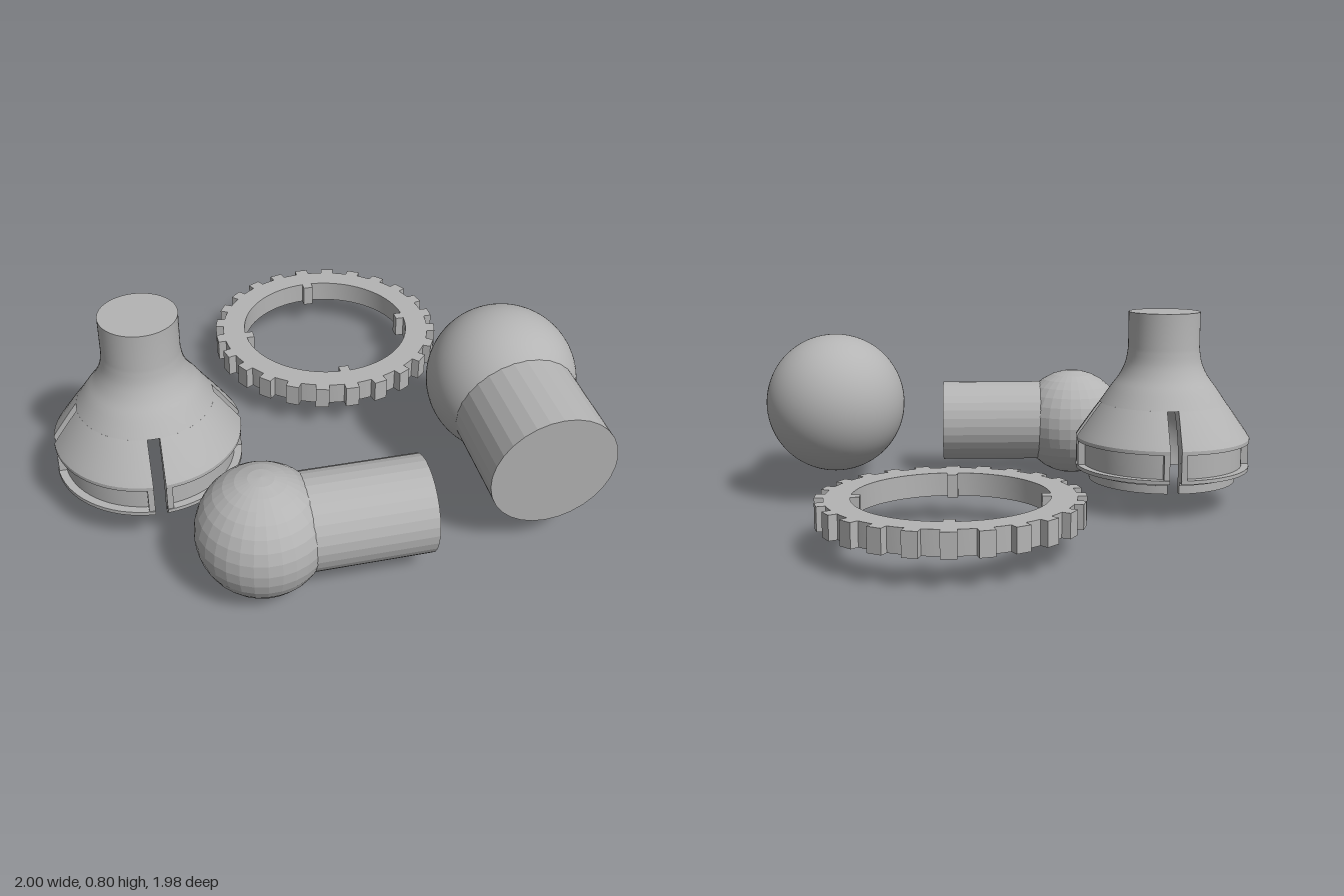
import * as THREE from 'three';
import { toCreasedNormals } from 'three/addons/utils/BufferGeometryUtils.js';

const V = (x, y) => new THREE.Vector2(x, y);

export function createModel() {
  const grey = new THREE.MeshStandardMaterial({ color: 0xb4b4b4 });
  const greyThin = grey;
  greyThin.side = THREE.DoubleSide;
  const model = new THREE.Group();
  const add = (parent, name, geometry) => {
    const mesh = new THREE.Mesh(geometry, grey);
    mesh.name = name;
    parent.add(mesh);
    return mesh;
  };
  const group = (name, x, y, z) => {
    const g = new THREE.Group();
    g.name = name;
    g.position.set(x, y, z);
    model.add(g);
    return g;
  };
  const faceted = (geometry) => {
    const g = geometry.toNonIndexed();
    g.computeVertexNormals();
    return g;
  };

  // Notched locking ring: outline of evenly spaced straight-sided teeth
  const toothed = (count, rBase, rTooth, half, arcSteps) => {
    const pts = [];
    const step = (Math.PI * 2) / count;
    const polar = (r, a) => pts.push(V(r * Math.cos(a), r * Math.sin(a)));
    for (let i = 0; i < count; i++) {
      const a = i * step;
      const aBase = Math.asin(half / rBase), aTip = Math.asin(half / rTooth);
      polar(rBase, a - aBase);
      polar(rTooth, a - aTip);
      polar(rTooth, a + aTip);
      for (let k = 0; k < arcSteps; k++) {
        polar(rBase, a + aBase + ((step - 2 * aBase) * k) / arcSteps);
      }
    }
    return pts;
  };
  const ring = group('lockingRing', 0.215, 0.118, -0.512);
  const ringShape = new THREE.Shape(toothed(24, 0.452, 0.485, 0.028, 3));
  ringShape.holes.push(new THREE.Path(toothed(4, 0.358, 0.325, 0.021, 16)));
  const ringGeo = new THREE.ExtrudeGeometry(ringShape, { depth: 0.09, bevelEnabled: false });
  ringGeo.rotateX(-Math.PI / 2);
  add(ring, 'toothedRing', toCreasedNormals(ringGeo, 0.3));

  // Small ball joint with its shaft lying along x
  const small = group('smallBallJoint', -0.322, 0.247, 0.75);
  add(small, 'smallBall', faceted(new THREE.SphereGeometry(0.238, 30, 16)));
  const smallShaft = new THREE.CylinderGeometry(0.179, 0.179, 0.49, 30);
  smallShaft.rotateZ(-Math.PI / 2);
  add(small, 'smallShaft', faceted(smallShaft)).position.set(0.347, 0.005, 0);

  // Large ball joint with its shaft tipped slightly down toward the front
  const large = group('largeBallJoint', 0.711, 0.413, 0.302);
  add(large, 'largeBall', new THREE.SphereGeometry(0.287, 72, 48));
  const largeShaft = new THREE.CylinderGeometry(0.24, 0.24, 0.5, 30);
  largeShaft.rotateX(Math.PI / 2);
  largeShaft.translate(0, 0, 0.271);
  const shaft = add(large, 'largeShaft', faceted(largeShaft));
  shaft.position.set(0.004, -0.018, 0);
  shaft.rotation.set(0.056, 0.014, 0);

  // Socket: solid neck above four slotted fingers around a round cavity
  const socket = group('socket', -0.645, 0, 0.15);
  const slotTop = 0.435, slotHalf = 0.0225, cavityR = 0.27, cavityY = 0.2;
  const cavity = (y) => V(Math.sqrt(Math.max(0, cavityR ** 2 - (y - cavityY) ** 2)), y);

  const flare = new THREE.SplineCurve([
    V(0.257, slotTop), V(0.215, 0.497), V(0.18, 0.545), V(0.155, 0.6), V(0.145, 0.66),
  ]).getPoints(14);
  const neckProfile = [
    V(0, 0.47), cavity(0.465), cavity(0.455), cavity(slotTop),
    ...flare, V(0.145, 0.805), V(0, 0.805),
  ];
  add(socket, 'neck', toCreasedNormals(new THREE.LatheGeometry(neckProfile, 60), 0.6));

  // Closed finger profile, outside going up and cavity coming down
  const finger = [
    V(0.3, 0.115), V(0.3, 0.148), V(0.308, 0.15), V(0.308, 0.165), V(0.355, 0.165),
    V(0.355, 0.18), V(0.325, 0.18), V(0.325, 0.28), V(0.355, 0.28), V(0.355, 0.295),
    V(0.34, 0.318), V(0.312, 0.358), V(0.285, 0.397), V(0.257, slotTop),
  ];
  for (let i = 0; i <= 14; i++) finger.push(cavity(slotTop + ((0.115 - slotTop) * i) / 14));
  finger.push(finger[0].clone());

  // Quarter turn, narrowed at both ends so the slots keep parallel walls
  const sector = new THREE.LatheGeometry(finger, 16, 0, Math.PI / 2);
  const pos = sector.attributes.position;
  for (let i = 0; i < pos.count; i++) {
    const r = Math.hypot(pos.getX(i), pos.getZ(i));
    const off = Math.asin(slotHalf / r);
    const t = Math.atan2(pos.getX(i), pos.getZ(i)) / (Math.PI / 2);
    const a = off + t * (Math.PI / 2 - 2 * off);
    pos.setXYZ(i, r * Math.sin(a), pos.getY(i), r * Math.cos(a));
  }
  const sectorGeo = toCreasedNormals(sector, 0.45);

  // Slot walls and the posts that close off the groove beside each slot
  const wallShape = new THREE.Shape(
    finger.slice(0, -1).map((p) => V(Math.sqrt(p.x ** 2 - slotHalf ** 2), p.y)));
  const wallA = new THREE.ShapeGeometry(wallShape);
  wallA.rotateY(-Math.PI / 2);
  wallA.translate(slotHalf, 0, 0);
  const wallB = new THREE.ShapeGeometry(wallShape);
  wallB.translate(0, 0, slotHalf);
  const post = new THREE.BoxGeometry(0.0225, 0.12, 0.04);

  for (let i = 0; i < 4; i++) {
    const quarter = new THREE.Group();
    quarter.name = 'finger';
    quarter.rotation.y = (i * Math.PI) / 2;
    socket.add(quarter);
    add(quarter, 'fingerShell', sectorGeo);
    add(quarter, 'slotWall', wallA);
    add(quarter, 'slotWall', wallB);
    add(quarter, 'groovePost', post).position.set(0.0338, 0.23, 0.33);
    const other = add(quarter, 'groovePost', post);
    other.position.set(0.33, 0.23, 0.0338);
    other.rotation.y = Math.PI / 2;
  }
  return model;
}
